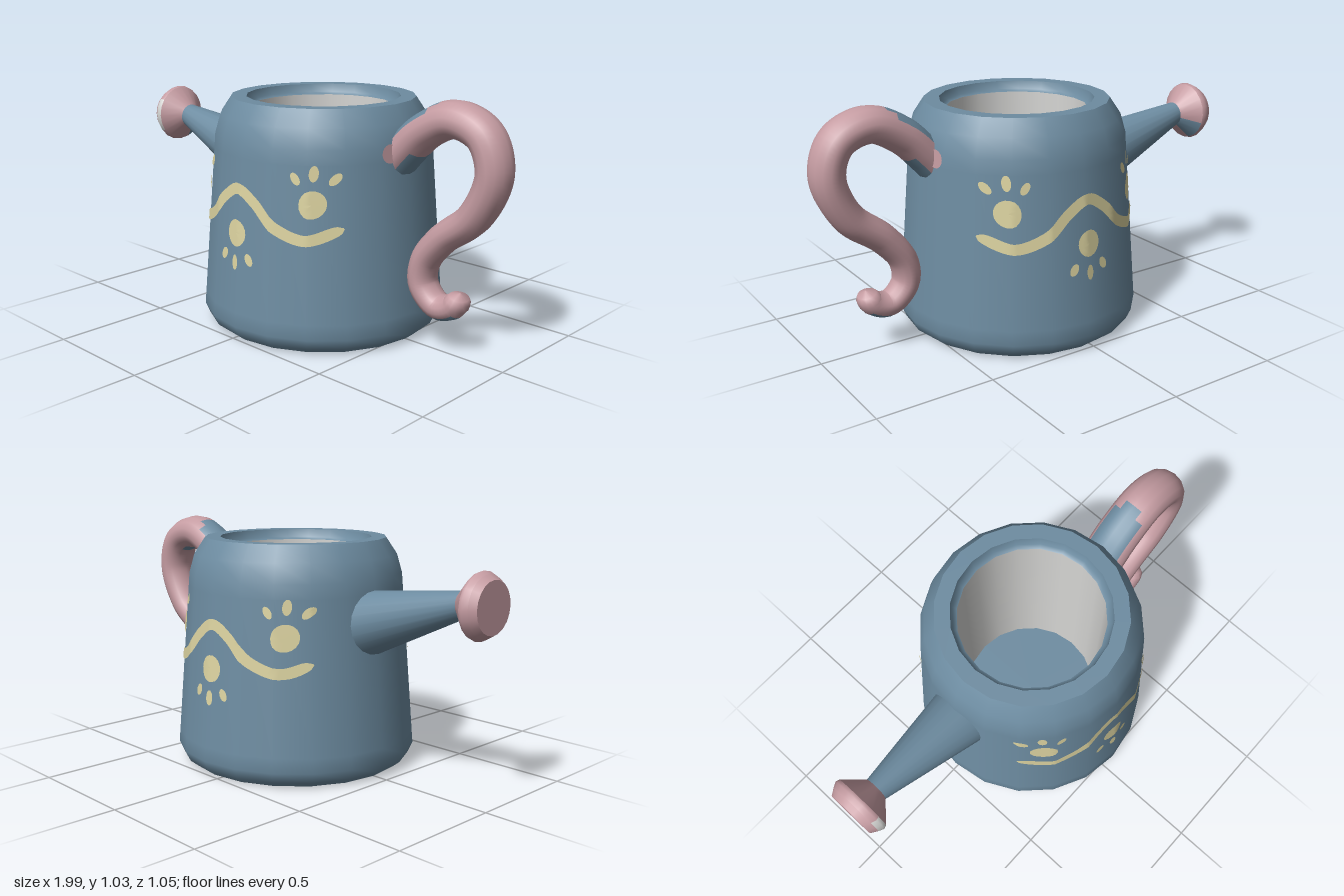
import * as THREE from 'three';

const SIDES = 20;
const CX = 0.047; // body axis
const SEG = (Math.PI * 2) / SIDES;

function flat(name, color, side = THREE.FrontSide) {
  const m = new THREE.MeshStandardMaterial({ color, side });
  m.name = name;
  return m;
}

export function createModel() {
  const blue = flat('dustyBlue', 0x6d8ca1);
  const rose = flat('dustyRose', 0xc59ca2);
  const cream = flat('creamYellow', 0xdcd3a0);
  const pale = flat('paleGrey', 0xd6d6d4);

  const model = new THREE.Group();
  model.name = 'wateringCan';

  function add(parent, name, geo, mat) {
    const mesh = new THREE.Mesh(geo, mat);
    mesh.name = name;
    parent.add(mesh);
    return mesh;
  }
  function group(name) {
    const g = new THREE.Group();
    g.name = name;
    model.add(g);
    return g;
  }
  // start and count are measured in sides
  const lathe = (pts, start = 0, count = SIDES) => new THREE.LatheGeometry(
    pts.map(([r, y]) => new THREE.Vector2(r, y)), count, start * SEG, count * SEG);

  // Body: separate rings keep the rim and base edges sharp
  const body = group('body');
  body.position.x = CX;
  add(body, 'base', lathe([[0, 0], [0.475, 0]]), blue);
  add(body, 'bodyWall', lathe([[0.475, 0], [0.507, 0.025], [0.527, 0.07], [0.522, 0.13],
    [0.47, 0.77], [0.465, 0.83], [0.442, 0.91], [0.395, 0.98]]), blue);
  add(body, 'rim', lathe([[0.395, 0.98], [0.33, 0.98]]), blue);
  add(body, 'rimStep', lathe([[0.33, 0.98], [0.322, 0.945], [0.305, 0.935]]), blue);
  add(body, 'innerWall', lathe([[0.305, 0.935], [0.305, 0.06]]), pale);
  add(body, 'innerFloor', lathe([[0.305, 0.06], [0, 0.06]]), blue);

  // Spout: tapered pipe along a sloping axis
  const from = new THREE.Vector3(-0.35, 0.64, 0);
  const to = new THREE.Vector3(-0.885, 0.79, 0);
  const pipe = new THREE.CylinderGeometry(0.049, 0.143, from.distanceTo(to), SIDES, 1, true);
  const spout = add(model, 'spout', pipe, blue);
  spout.position.copy(from).lerp(to, 0.5);
  spout.quaternion.setFromUnitVectors(new THREE.Vector3(0, 1, 0), to.clone().sub(from).normalize());

  // Sprinkler head: turned so that its axis runs along -x
  const head = group('sprinklerHead');
  head.position.y = 0.787;
  head.rotation.z = Math.PI / 2;
  const flare = [[0.045, 0.855], [0.06, 0.87], [0.128, 0.935]];
  const edge = [[0.128, 0.935], [0.133, 0.95], [0.122, 0.972]];
  add(head, 'headFlare', lathe(flare, -6, 17), rose);
  add(head, 'headFlarePatch', lathe(flare, 11, 3), blue);
  add(head, 'headEdge', lathe(edge, 2, 16), rose);
  add(head, 'headEdgePatch', lathe(edge, -2, 4), pale);
  add(head, 'headBevel', lathe([[0.122, 0.972], [0.104, 1]]), rose);
  add(head, 'headFace', lathe([[0.104, 1], [0, 1]]), rose);

  // Handle: oval tube swept along a hooked path, tapering to a round tip
  const path = new THREE.CatmullRomCurve3([
    [0.46, 0.755], [0.51, 0.81], [0.60, 0.893], [0.74, 0.955], [0.875, 0.905], [0.921, 0.77],
    [0.845, 0.595], [0.70, 0.475], [0.615, 0.365], [0.608, 0.265], [0.685, 0.19],
    [0.765, 0.212], [0.79, 0.27]].map(([x, y]) => new THREE.Vector3(x, y, 0)));
  const RINGS = 90, AROUND = 14;
  const pos = [], roseFaces = [], blueFaces = [];
  // t runs along the handle, v is 0 on top of the arch and PI underneath
  const isPatch = (t, v) => {
    const top = Math.min(v, Math.PI * 2 - v), under = Math.PI - top;
    return (t > 0.03 && t < 0.19 && top < 0.95 - 3 * Math.max(0, t - 0.08))
      || (t < 0.075 && under < 0.9)
      || (t > 0.27 && t < 0.32 && under < 0.4)
      || (t > 0.9 && t < 0.955 && under < 0.7);
  };
  for (let i = 0; i <= RINGS; i++) {
    const t = i / RINGS;
    const p = path.getPointAt(t), d = path.getTangentAt(t);
    const cap = Math.sqrt(Math.max(0, 1 - Math.max(0, (t - 0.97) / 0.03) ** 2));
    const r = (0.078 - 0.028 * t ** 1.5) * cap;
    for (let j = 0; j < AROUND; j++) {
      const v = (j / AROUND) * Math.PI * 2, n = r * Math.cos(v);
      pos.push(p.x - d.y * n, p.y + d.x * n, 1.22 * r * Math.sin(v));
      if (i === RINGS) continue;
      const k = (j + 1) % AROUND, a = i * AROUND + j, b = i * AROUND + k;
      const list = isPatch(t, ((j + 0.5) / AROUND) * Math.PI * 2) ? blueFaces : roseFaces;
      list.push(a, b, a + AROUND, b, b + AROUND, a + AROUND);
    }
  }
  const tube = new THREE.BufferGeometry();
  tube.setAttribute('position', new THREE.Float32BufferAttribute(pos, 3));
  tube.setIndex([...roseFaces, ...blueFaces]);
  tube.addGroup(0, roseFaces.length, 0);
  tube.addGroup(roseFaces.length, blueFaces.length, 1);
  tube.computeVertexNormals();
  add(model, 'handle', tube, [rose, blue]);

  // Lays a flat shape onto the many-sided body wall, just proud of it
  function wrap(geo) {
    const p = geo.attributes.position;
    for (let i = 0; i < p.count; i++) {
      const u = p.getX(i), y = p.getY(i);
      const R = 0.527 - (0.062 * (y - 0.07)) / 0.76;
      let z = Infinity;
      for (let k = -5; k < 5; k++) {
        const a = (k + 0.5) * SEG;
        z = Math.min(z, (R * Math.cos(SEG / 2) - u * Math.sin(a)) / Math.cos(a));
      }
      const grow = 1 + 0.006 / R;
      p.setXYZ(i, u * grow, y, z * grow);
    }
    geo.computeVertexNormals();
    return geo;
  }
  const oval = (x, y, rx, ry, tilt = 0) => wrap(new THREE.RingGeometry(0, 1, 18, 3)
    .scale(rx, ry, 1).rotateZ(tilt).translate(x, y, 0));

  // Painted wave: a ribbon with rounded ends
  function wave(s) {
    const pts = [[-0.40, 0.515], [-0.315, 0.475], [-0.197, 0.515], [-0.1, 0.605], [-0.013, 0.65],
      [0.07, 0.605], [0.17, 0.515], [0.285, 0.475], [0.39, 0.525]]
      .map(([x, y]) => new THREE.Vector3(x * s, y, 0));
    if (s < 0) pts.reverse();
    const curve = new THREE.CatmullRomCurve3(pts);
    const geo = new THREE.PlaneGeometry(1, 0.045, 72, 3), p = geo.attributes.position;
    for (let i = 0; i < p.count; i++) {
      const t = THREE.MathUtils.clamp(p.getX(i) + 0.5, 0, 1);
      const w = p.getY(i) * Math.sqrt(Math.max(0.02, 1 - Math.abs(2 * t - 1) ** 24));
      const c = curve.getPointAt(t), d = curve.getTangentAt(t);
      p.setXYZ(i, c.x - d.y * w, c.y + d.x * w, 0);
    }
    return wrap(geo);
  }

  // Paw prints: x, y, half width of the pad, toes up (1) or down (-1)
  const paws = [[-0.315, 0.618, 0.043, 1], [0.295, 0.618, 0.043, 1], [-0.015, 0.467, 0.052, -1]];
  for (const s of [1, -1]) {
    const art = group(s > 0 ? 'frontPainting' : 'backPainting');
    art.position.x = CX;
    art.rotation.y = s > 0 ? 0 : Math.PI;
    add(art, 'wave', wave(s), cream);
    for (const [px, y, w, up] of paws) {
      const x = px * s;
      add(art, 'pawPad', oval(x, y, w, 0.056), cream);
      add(art, 'pawMiddleToe', oval(x, y + up * 0.122, w * 0.32, 0.032), cream);
      for (const m of [-1, 1]) {
        add(art, 'pawSideToe', oval(x + m * w * 1.4, y + up * 0.1, w * 0.34, 0.027, -m * up * 0.5), cream);
      }
    }
  }

  // Rose marks on the wall where the handle joins
  const marks = group('handleMarks');
  marks.position.x = CX;
  marks.rotation.y = Math.PI / 2;
  for (const m of [-1, 1]) add(marks, 'handleMark', oval(m * 0.1, 0.802, 0.04, 0.038), rose);

  return model;
}
